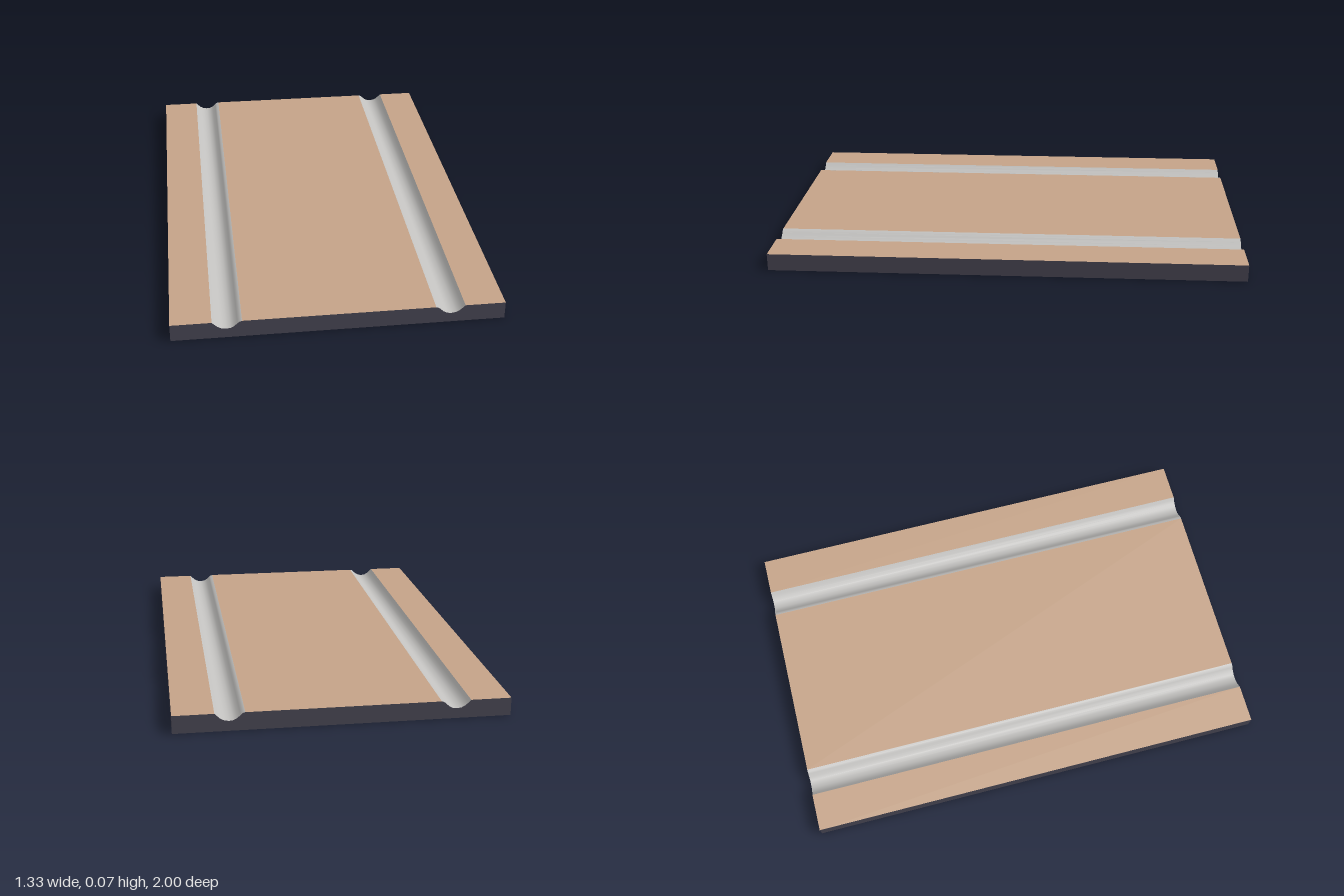
import * as THREE from 'three';

const HALF_W = 0.665, HALF_L = 1, TOP = 0.073;

// Groove cross-section from the outer to the inner edge, for the +x side
const GROOVE = [
  [0.502, TOP], [0.492, 0.063], [0.48, 0.052], [0.465, 0.044], [0.447, 0.041],
  [0.43, 0.043], [0.415, 0.051], [0.402, 0.063], [0.394, 0.07], [0.384, TOP],
];
const leftGroove = GROOVE.slice().reverse();               // x ascending
const rightGroove = GROOVE.map(([x, y]) => [-x, y]);       // x ascending

// Sweep a cross-section (x ascending, seen from above) along z
function strip(profile) {
  const pos = [], index = [];
  profile.forEach(([x, y], i) => {
    pos.push(x, y, -HALF_L, x, y, HALF_L);
    if (i) {
      const a = 2 * i - 2;
      index.push(a, a + 1, a + 3, a, a + 3, a + 2);
    }
  });
  const g = new THREE.BufferGeometry();
  g.setAttribute('position', new THREE.Float32BufferAttribute(pos, 3));
  g.setIndex(index);
  g.computeVertexNormals();
  return g;
}

export function createModel() {
  const mat = (name, color) => {
    const m = new THREE.MeshStandardMaterial({ color, side: THREE.DoubleSide });
    m.name = name;
    return m;
  };
  const deckMat = mat('tan deck', 0xc8a68a);
  const grooveMat = mat('light grey metal', 0xc2c1bf);
  const wallMat = mat('dark slate', 0x4b4957);

  const group = new THREE.Group();
  group.name = 'groovedPanel';
  const add = (name, geometry, material) => {
    const m = new THREE.Mesh(geometry, material);
    m.name = name;
    group.add(m);
    return m;
  };

  // Flat deck panels between the grooves
  const inner = 0.384, outer = 0.502;
  add('centreDeck', strip([[-inner, TOP], [inner, TOP]]), deckMat);
  add('leftDeck', strip([[outer, TOP], [HALF_W, TOP]]), deckMat);
  add('rightDeck', strip([[-HALF_W, TOP], [-outer, TOP]]), deckMat);

  // Rounded grooves
  add('leftGroove', strip(leftGroove), grooveMat);
  add('rightGroove', strip(rightGroove), grooveMat);

  // End walls follow the grooved outline; the underside stays open
  const outline = [
    [-HALF_W, 0], [HALF_W, 0], [HALF_W, TOP],
    ...GROOVE, ...rightGroove.slice().reverse(), [-HALF_W, TOP],
  ].map(([x, y]) => new THREE.Vector2(x, y));
  const endGeometry = new THREE.ShapeGeometry(new THREE.Shape(outline));
  add('frontWall', endGeometry, wallMat).position.z = HALF_L;
  const back = add('backWall', endGeometry, wallMat);
  back.position.z = -HALF_L;
  back.rotation.y = Math.PI;

  // Side walls
  for (const [name, s] of [['leftWall', 1], ['rightWall', -1]]) {
    const wall = add(name, new THREE.PlaneGeometry(2 * HALF_L, TOP), wallMat);
    wall.position.set(s * HALF_W, TOP / 2, 0);
    wall.rotation.y = s * Math.PI / 2;
  }
  return group;
}
